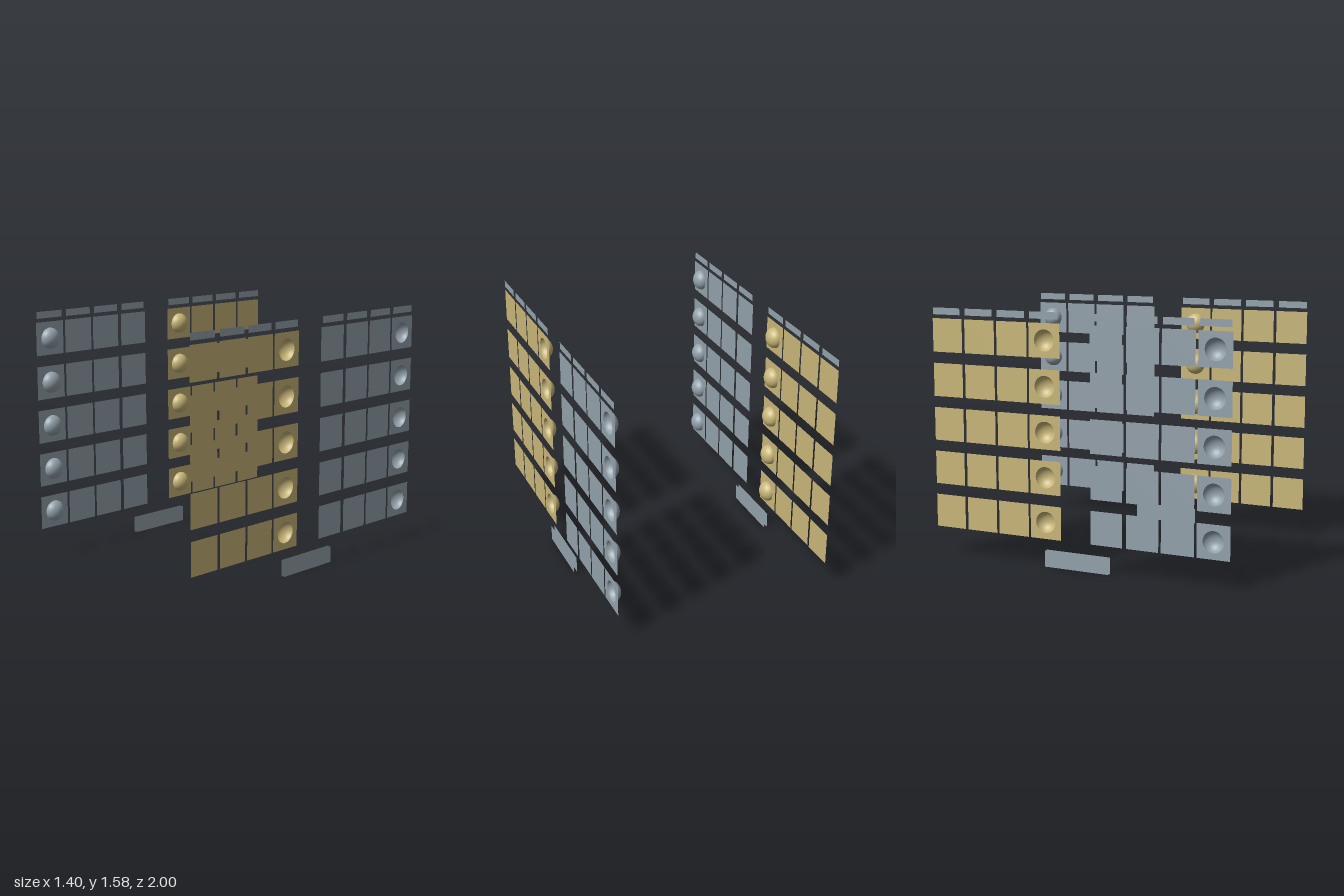
import * as THREE from 'three';

export function createModel() {
  const model = new THREE.Group();
  model.name = 'tilePanels';

  const gold = new THREE.MeshStandardMaterial({ color: 0xc9b77a, side: THREE.DoubleSide });
  gold.name = 'gold';
  const grey = new THREE.MeshStandardMaterial({ color: 0x94a2ac, side: THREE.DoubleSide });
  grey.name = 'slateGrey';

  const X = 0.7, TILE = 0.211, R = 0.067, DEPTH = 0.056;

  // Thin upright sheet facing sideways, centred on its own origin
  function sheet(width, height, holeRadius = 0) {
    const w = width / 2, h = height / 2;
    const shape = new THREE.Shape();
    shape.moveTo(-w, -h).lineTo(w, -h).lineTo(w, h).lineTo(-w, h).closePath();
    if (holeRadius) {
      const hole = new THREE.Path();
      hole.absarc(0, 0, holeRadius, 0, Math.PI * 2, true);
      shape.holes.push(hole);
    }
    return new THREE.ShapeGeometry(shape, 16).rotateY(Math.PI / 2);
  }

  const tileGeo = sheet(TILE, TILE);
  const holedGeo = sheet(TILE, TILE, R);
  const stripGeo = sheet(0.194, 0.043);
  const plinthGeo = sheet(0.438, 0.105);
  // Half bowl bulging toward the middle of the model
  const bowlGeo = new THREE.SphereGeometry(R, 32, 12, 0, Math.PI * 2, 0, Math.PI / 2)
    .scale(1, DEPTH / R, 1).rotateZ(Math.PI / 2);

  function add(parent, name, geometry, material, x, y, z) {
    const mesh = new THREE.Mesh(geometry, material);
    mesh.name = name;
    mesh.position.set(x, y, z);
    parent.add(mesh);
  }

  // Panel columns; the bowl sits in the column given by bowlAt
  const panels = [
    { name: 'goldPanel', material: gold, columns: [0.893, 0.663, 0.435, 0.21], strips: [0.899, 0.667, 0.44, 0.211], bowlAt: 3 },
    { name: 'greyPanel', material: grey, columns: [-0.204, -0.441, -0.668, -0.895], strips: [-0.207, -0.437, -0.667, -0.896], bowlAt: 3 },
  ];

  function buildSide(name) {
    const side = new THREE.Group();
    side.name = name;
    for (const p of panels) {
      const panel = new THREE.Group();
      panel.name = p.name;
      for (let row = 0; row < 5; row++) {
        const y = 0.283 + row * 0.2813;
        p.columns.forEach((z, i) => {
          const holed = i === p.bowlAt;
          add(panel, holed ? 'bowlTile' : 'tile', holed ? holedGeo : tileGeo, p.material, X, y, z);
          if (holed) add(panel, 'bowl', bowlGeo, p.material, X, y, z);
        });
      }
      // Narrow strips above the top row
      for (const z of p.strips) add(panel, 'topStrip', stripGeo, grey, X, 1.559, z);
      side.add(panel);
    }
    // Low plinth made of two parallel sheets
    for (const x of [X, X - 0.02]) add(side, 'plinthSheet', plinthGeo, grey, x, 0.0525, 0);
    return side;
  }

  const leftSide = buildSide('leftSide');
  const rightSide = buildSide('rightSide');
  rightSide.rotation.y = Math.PI;
  model.add(leftSide, rightSide);
  return model;
}
